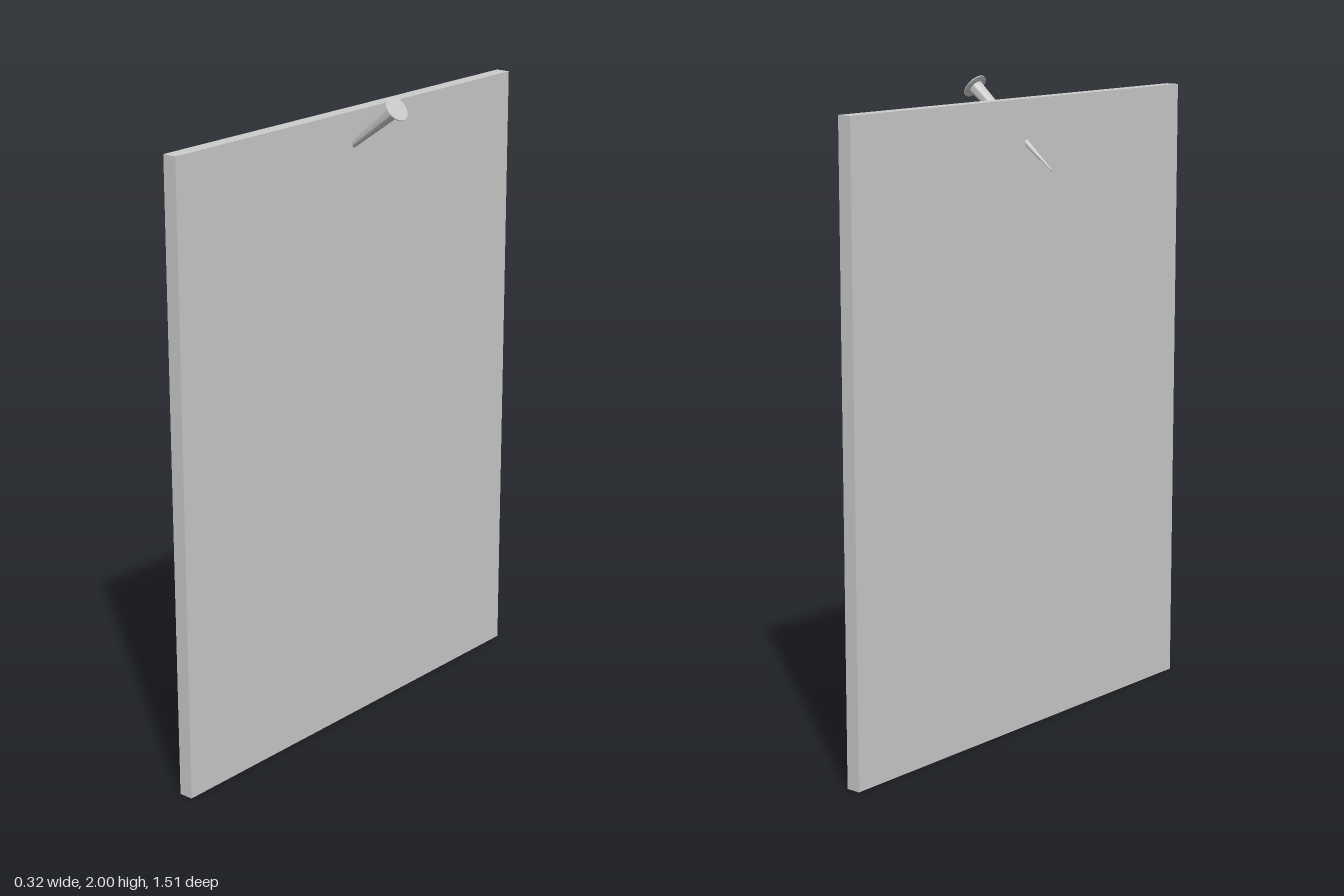
import * as THREE from 'three';
import { toCreasedNormals } from 'three/addons/utils/BufferGeometryUtils.js';

export function createModel() {
  const model = new THREE.Group();
  const grey = new THREE.MeshStandardMaterial({ color: 0xcccccc });

  // Upright flat board
  const board = new THREE.Mesh(new THREE.BoxGeometry(0.045, 1.94, 1.51), grey);
  board.name = 'board';
  board.position.set(-0.048, 0.97, 0);
  model.add(board);

  // Nail driven through the board at a slant; built along y from its tip
  const nail = new THREE.Group();
  nail.name = 'nail';
  const tip = new THREE.Vector2(-0.165, 1.735);
  const top = new THREE.Vector2(0.132, 1.968);
  const length = tip.distanceTo(top);
  nail.position.set(tip.x, tip.y, 0);
  nail.rotation.z = -Math.atan2(top.x - tip.x, top.y - tip.y);
  model.add(nail);

  const addTurned = (name, points) => {
    const profile = points.map(([r, y]) => new THREE.Vector2(r, y));
    const geometry = toCreasedNormals(new THREE.LatheGeometry(profile, 32), 0.6);
    const mesh = new THREE.Mesh(geometry, grey);
    mesh.name = name;
    nail.add(mesh);
  };

  // Tapered shank, then a thin round head
  addTurned('shank', [[0, 0], [0.002, 0], [0.022, length - 0.004]]);
  addTurned('head', [[0, length - 0.006], [0.022, length - 0.006], [0.04, length - 0.003], [0.04, length], [0, length]]);

  return model;
}
